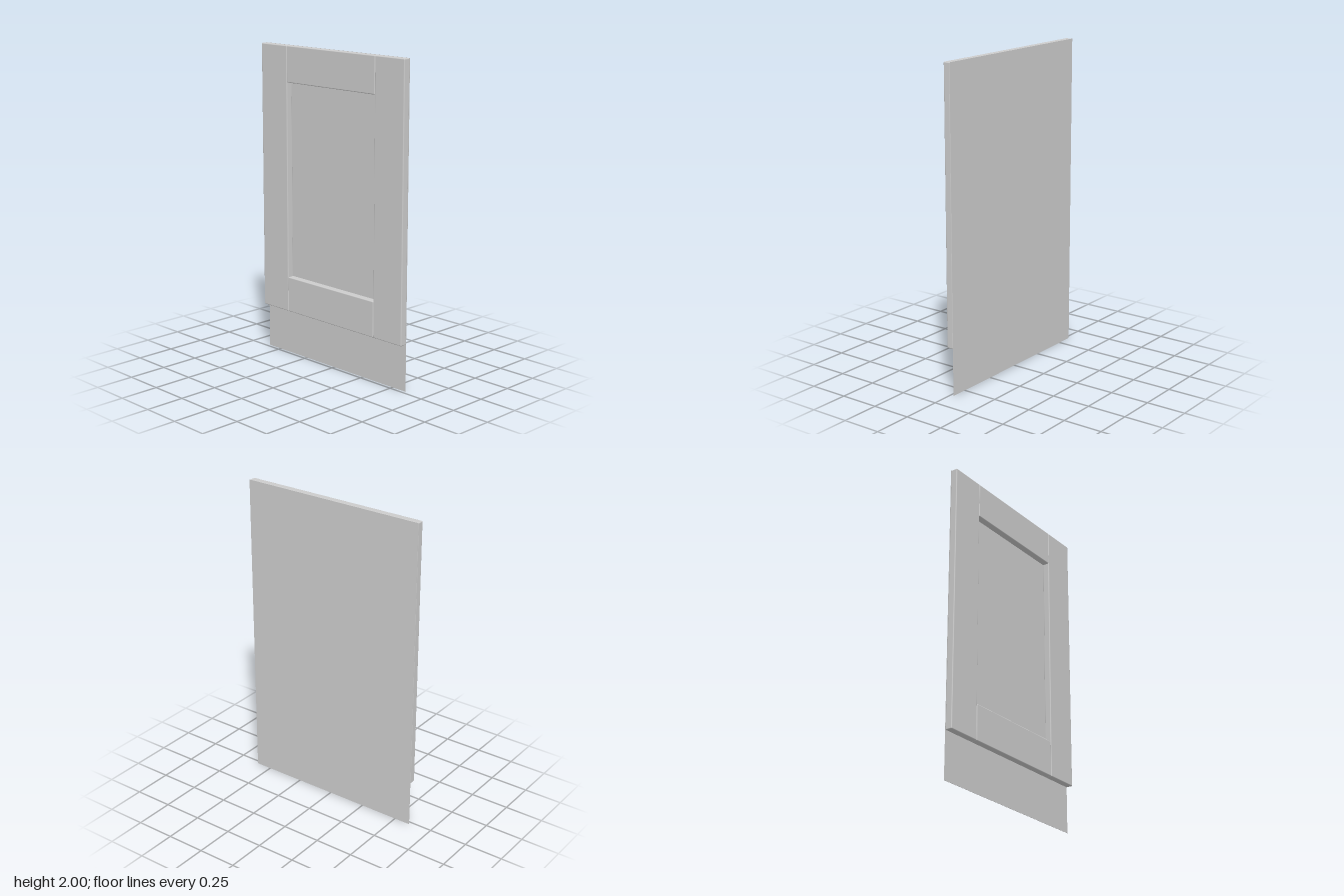
import * as THREE from 'three';
import { RoundedBoxGeometry } from 'three/addons/geometries/RoundedBoxGeometry.js';

const W = 0.605, INNER = 0.375;          // half widths: whole panel, opening
const TOP = 2, BOTTOM = 0.295;           // height range of the raised frame
const BACK = -0.023, FRONT = 0.023;
const SHEET = 0.002;                     // backing thickness

export function createModel() {
  const group = new THREE.Group();
  const material = new THREE.MeshStandardMaterial({ color: 0xcccccc });

  const add = (name, geometry, x, y, z) => {
    const mesh = new THREE.Mesh(geometry, material);
    mesh.name = name;
    mesh.position.set(x, y, z);
    group.add(mesh);
  };

  // Thin backing sheet, reaching below the frame as a plinth
  add('backPanel', new THREE.BoxGeometry(2 * W, TOP, SHEET), 0, TOP / 2, BACK + SHEET / 2);

  // Softly rounded boards laid on the backing
  const z0 = BACK + SHEET / 2;
  const board = (name, x0, x1, y0, y1) =>
    add(name, new RoundedBoxGeometry(x1 - x0, y1 - y0, FRONT - z0, 4, 0.006),
      (x0 + x1) / 2, (y0 + y1) / 2, (z0 + FRONT) / 2);

  board('leftStile', INNER, W, BOTTOM, TOP);
  board('rightStile', -W, -INNER, BOTTOM, TOP);
  board('topRail', -INNER, INNER, 1.772, TOP);
  board('bottomRail', -INNER, INNER, BOTTOM, 0.523);

  return group;
}
